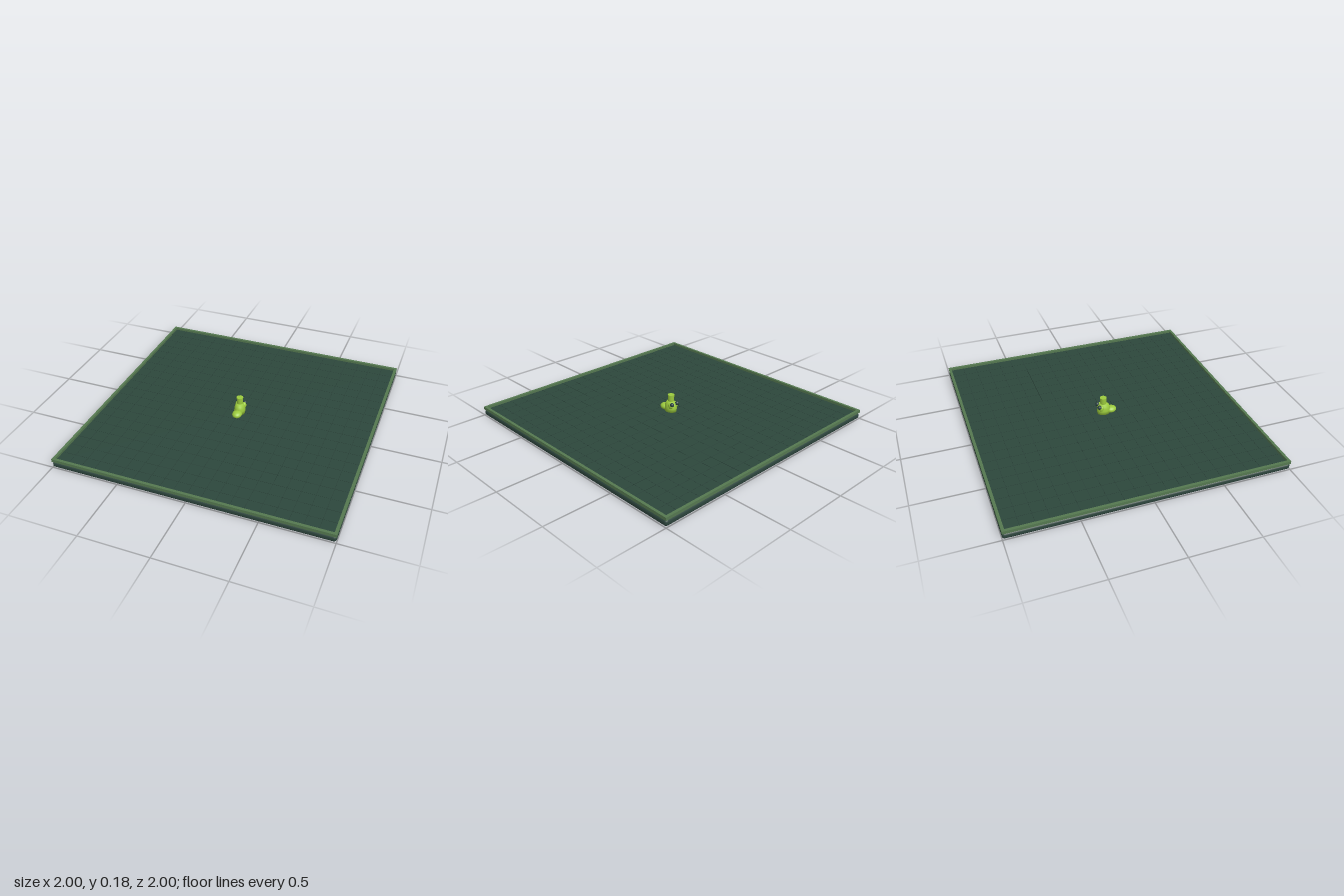
import * as THREE from 'three';
import { RoundedBoxGeometry } from 'three/addons/geometries/RoundedBoxGeometry.js';

const mat = (name, color) => {
  const m = new THREE.MeshStandardMaterial({ color });
  m.name = name;
  return m;
};

export function createModel() {
  const model = new THREE.Group();
  const slabGreen = mat('slabGreen', 0x2c443c);
  const floorGreen = mat('floorGreen', 0x2d473c);
  const lineGreen = mat('lineGreen', 0x263d34);
  const rimGreen = mat('rimGreen', 0x557850);
  const lime = mat('lime', 0x9ccb3e);
  const darkEye = mat('darkEye', 0x2b4440);

  const add = (name, geo, material, x, y, z, parent = model) => {
    const mesh = new THREE.Mesh(geo, material);
    mesh.name = name;
    mesh.position.set(x, y, z);
    parent.add(mesh);
    return mesh;
  };

  // Board with rounded edges and a thin floor panel
  add('slab', new RoundedBoxGeometry(2, 0.048, 2, 3, 0.02), slabGreen, 0, 0.024, 0);
  add('floor', new THREE.BoxGeometry(1.96, 0.006, 1.96), floorGreen, 0, 0.049, 0);

  // Raised rim
  for (const s of [-1, 1]) {
    add('rimFrontBack', new THREE.BoxGeometry(2, 0.022, 0.02), rimGreen, 0, 0.059, s * 0.99);
    add('rimSide', new THREE.BoxGeometry(0.02, 0.022, 1.96), rimGreen, s * 0.99, 0.059, 0);
  }

  // Fine grid lines on the floor
  const cells = 20, step = 1.96 / cells;
  for (let i = 1; i < cells; i++) {
    const p = -0.98 + i * step;
    add('gridLineAcross', new THREE.BoxGeometry(1.96, 0.001, 0.002), lineGreen, 0, 0.0522, p);
    add('gridLineAlong', new THREE.BoxGeometry(0.002, 0.001, 1.96), lineGreen, p, 0.0522, 0);
  }

  // Small figure standing in the middle
  const figure = new THREE.Group();
  figure.name = 'figure';
  model.add(figure);

  // Body: lathed mound, stretched a little front to back
  const bodyProfile = [[0, 0.05], [0.04, 0.05], [0.041, 0.08], [0.039, 0.1], [0.034, 0.118], [0.024, 0.132], [0, 0.136]]
    .map(([r, y]) => new THREE.Vector2(r, y));
  const body = add('body', new THREE.LatheGeometry(bodyProfile, 24), lime, 0, 0, 0.003, figure);
  body.scale.z = 1.22;

  // Upright neck, flaring at the top
  add('neck', new THREE.CylinderGeometry(0.025, 0.021, 0.07, 24), lime, 0, 0.149, 0, figure);

  // Rounded snout low at the front
  const snout = add('snout', new THREE.SphereGeometry(1, 24, 16), lime, 0, 0.07, 0.06, figure);
  snout.scale.set(0.036, 0.026, 0.042);

  // Paired shoulders and dark eyes at the back
  for (const s of [-1, 1]) {
    const shoulder = add('shoulder', new THREE.SphereGeometry(1, 16, 12), lime, s * 0.026, 0.105, -0.022, figure);
    shoulder.scale.set(0.016, 0.024, 0.02);
    add('eye', new THREE.SphereGeometry(0.016, 16, 12), darkEye, s * 0.026, 0.118, -0.038, figure);
  }
  return model;
}
